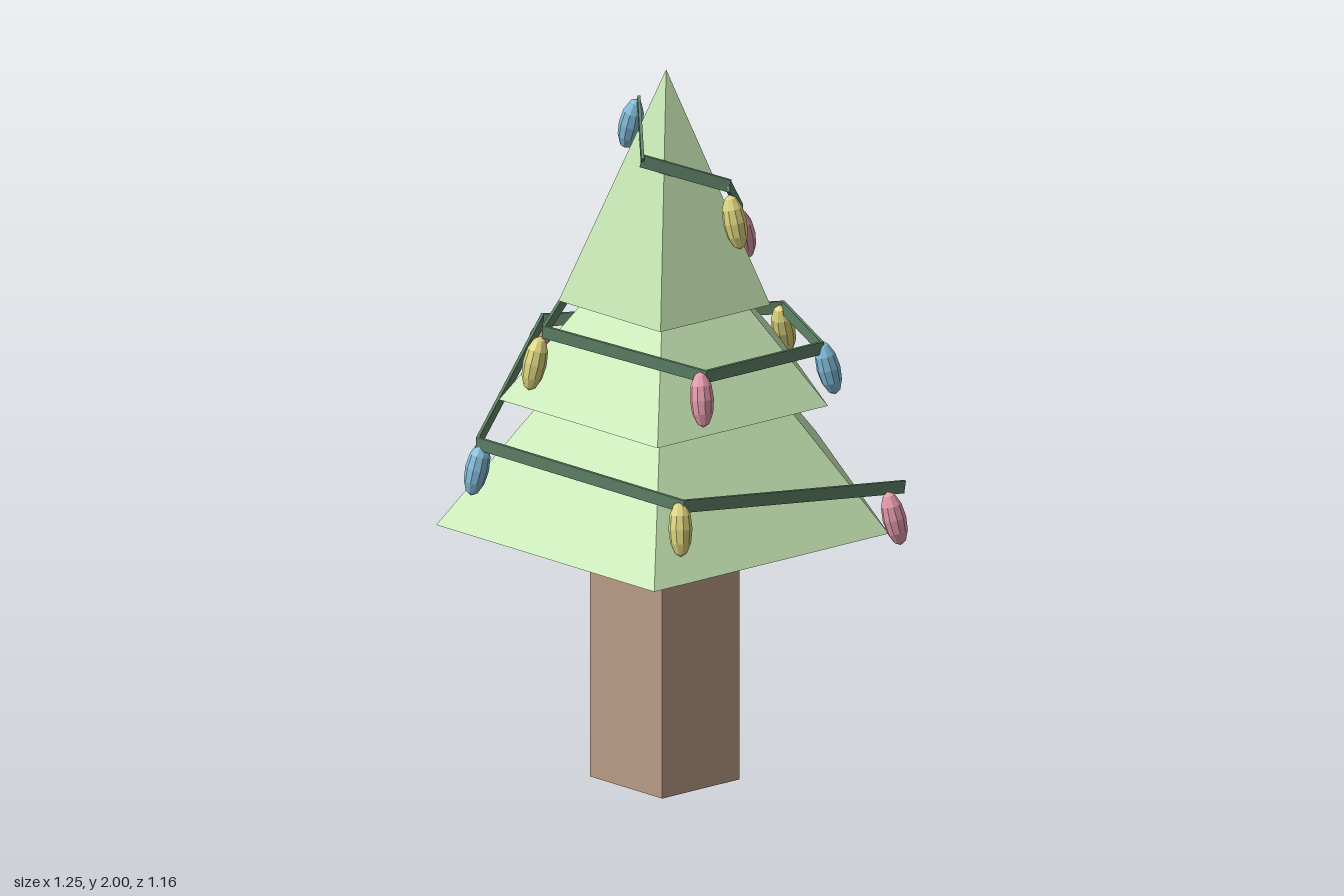
import * as THREE from 'three';

const CX = -0.023, CZ = 0.05; // axis of the tree
const mat = (color) => new THREE.MeshStandardMaterial({ color, flatShading: true });

function add(parent, name, geometry, material) {
  const mesh = new THREE.Mesh(geometry, material);
  mesh.name = name;
  parent.add(mesh);
  return mesh;
}

export function createModel() {
  const model = new THREE.Group();
  model.name = 'decoratedTree';

  // Five-sided trunk, flat side to the front
  const trunk = add(model, 'trunk',
    new THREE.CylinderGeometry(0.208, 0.208, 1, 5, 1, false, Math.PI), mat(0xbfa18a));
  trunk.position.set(CX, 0.5, CZ);

  // Foliage tiers: [base radius, base height, tip height], hollowed underneath
  const leaf = mat(0xc6e6b4);
  [[0.63, 0.765, 1.47], [0.458, 1.105, 1.61], [0.295, 1.37, 2]].forEach(([r, base, tip], i) => {
    const profile = [[0, base + r * 0.33], [r, base], [0, tip]].map(p => new THREE.Vector2(...p));
    const tier = add(model, 'foliageTier' + (i + 1),
      new THREE.LatheGeometry(profile, 5, Math.PI), leaf);
    tier.position.set(CX, 0, CZ);
  });

  // Garland: flat ribbon spiralling up in straight runs
  const path = [
    [0.565, 0.872, -0.22], [0.362, 0.98, 0.455], [-0.26, 1.03, 0.55], [-0.58, 1.085, -0.12],
    [-0.04, 1.15, -0.465], [0.345, 1.235, -0.15], [0.3, 1.28, 0.285], [-0.16, 1.325, 0.395],
    [-0.335, 1.365, -0.03], [-0.03, 1.49, -0.275], [0.185, 1.72, 0.045], [0, 1.785, 0.178],
    [-0.1, 1.9, 0.07],
  ].map(p => new THREE.Vector3(...p));
  const garland = new THREE.Group();
  garland.name = 'garland';
  model.add(garland);
  const ribbon = mat(0x5f8468);
  for (let i = 0; i < path.length - 1; i++) {
    const a = path[i], b = path[i + 1];
    const run = add(garland, 'garlandRun' + (i + 1),
      new THREE.BoxGeometry(0.008, 0.035, a.distanceTo(b) + 0.006), ribbon);
    run.position.copy(a).lerp(b, 0.5);
    run.lookAt(b);
  }

  // Bulbs: hang under the bends, lower ends leaning away from the tree
  const colors = [['pink', mat(0xe39aaa)], ['yellow', mat(0xded57e)], ['blue', mat(0x82bcd9)]];
  const bulbGeometry = new THREE.SphereGeometry(1, 10, 6).scale(0.032, 0.076, 0.032);
  const up = new THREE.Vector3(0, 1, 0);
  [
    [0.587, 0.808, -0.155], [0.36, 0.918, 0.465], [-0.262, 0.957, 0.55], [-0.592, 1.01, -0.12],
    [-0.045, 1.085, -0.472], [0.355, 1.175, -0.165], [0.3, 1.22, 0.3], [-0.163, 1.245, 0.43],
    [-0.345, 1.295, -0.03], [-0.03, 1.42, -0.285], [0.205, 1.62, 0.043], [-0.135, 1.82, 0.06],
  ].forEach((p, i) => {
    const [name, material] = colors[i % 3];
    const bulb = add(model, name + 'Bulb', bulbGeometry, material);
    bulb.position.set(...p);
    const axis = new THREE.Vector3(CX - p[0], 0, CZ - p[2]).setLength(0.25).add(up).normalize();
    bulb.quaternion.setFromUnitVectors(up, axis);
  });

  return model;
}
